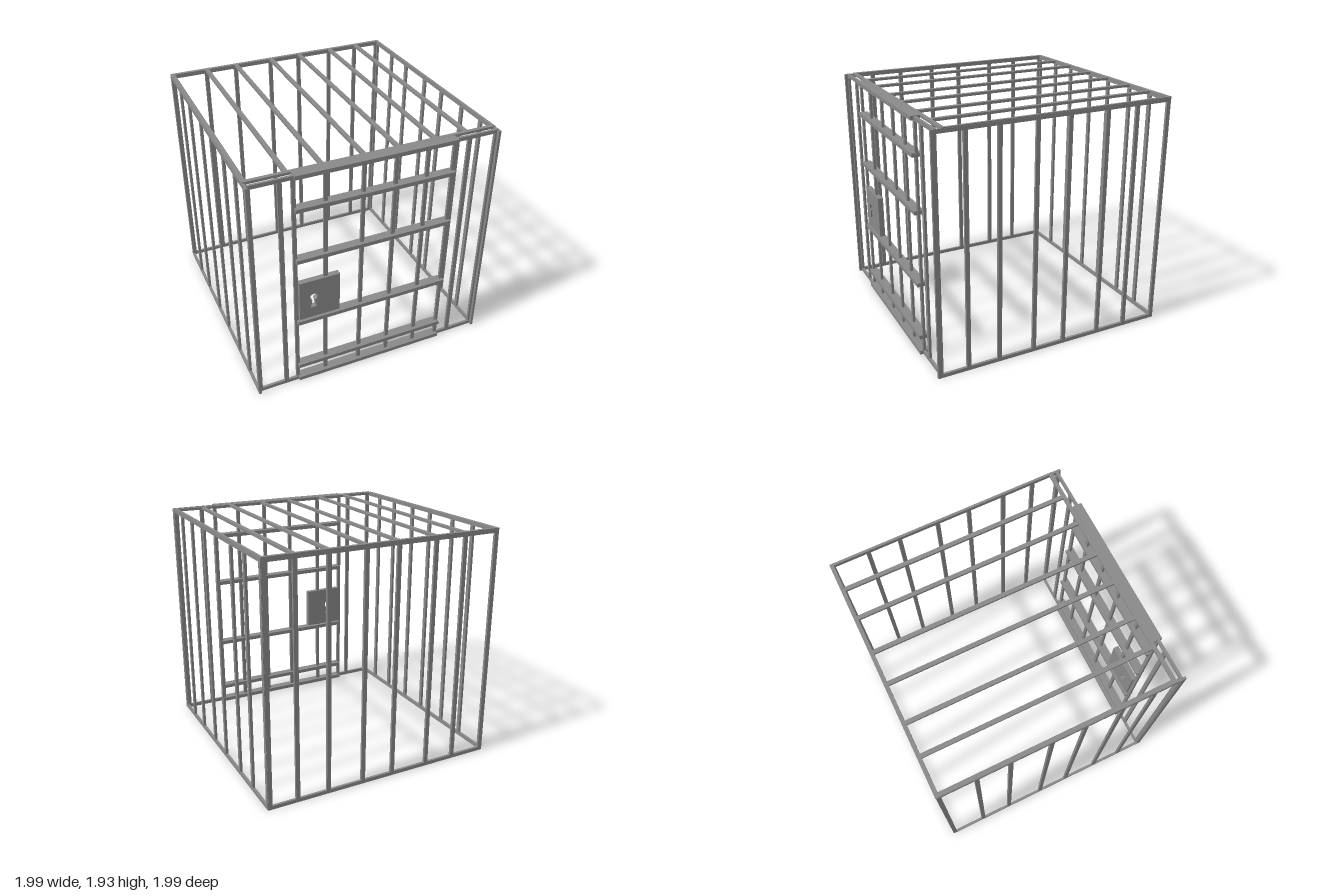
import * as THREE from 'three';

const metal = new THREE.MeshStandardMaterial({ color: 0x8a8a8a, flatShading: true });
const BAR = 0.034; // bar width
const RAIL = 0.03; // rail height
const THIN = 0.02; // bar depth
const SPACING = [-0.68, -0.415, -0.09, 0.18, 0.483, 0.745];

function box(parent, name, size, pos) {
  const mesh = new THREE.Mesh(new THREE.BoxGeometry(...size), metal);
  mesh.name = name;
  mesh.position.set(...pos);
  parent.add(mesh);
}

// Upright barred frame in the XY plane, standing on y = 0
function panel(name, width, height, bars, leftPost = BAR) {
  const g = new THREE.Group();
  g.name = name;
  box(g, 'framePost', [BAR, height, THIN], [(BAR - width) / 2, height / 2, 0]);
  box(g, 'framePost', [leftPost, height, THIN], [(width - leftPost) / 2, height / 2, 0]);
  for (const y of [RAIL / 2, height - RAIL / 2]) {
    box(g, 'frameRail', [width - BAR - leftPost, RAIL, THIN], [(BAR - leftPost) / 2, y, 0]);
  }
  for (const x of bars) {
    box(g, 'bar', [BAR, height - 2 * RAIL, THIN], [x, height / 2, 0]);
  }
  return g;
}

// Lock plate with a keyhole cut through it
function lockPlate() {
  const shape = new THREE.Shape();
  shape.moveTo(-0.628, 0.635);
  shape.lineTo(-0.297, 0.635);
  shape.lineTo(-0.297, 0.985);
  shape.lineTo(-0.628, 0.985);
  shape.closePath();
  const hole = new THREE.Path();
  hole.moveTo(-0.537, 0.73);
  hole.lineTo(-0.524, 0.797);
  hole.absarc(-0.513, 0.826, 0.032, Math.PI * 1.38, Math.PI * 1.62, true);
  hole.lineTo(-0.489, 0.73);
  hole.closePath();
  shape.holes.push(hole);
  const geo = new THREE.ExtrudeGeometry(shape, { depth: 0.045, bevelEnabled: false, curveSegments: 6 });
  const mesh = new THREE.Mesh(geo, metal);
  mesh.name = 'lockPlate';
  mesh.position.z = -0.022;
  return mesh;
}

function createDoor() {
  const door = new THREE.Group();
  door.name = 'door';
  for (const x of [-0.648, -0.408, -0.113, 0.143, 0.4, 0.62]) {
    box(door, 'doorBar', [0.03, 1.9, THIN], [x, 0.963, 0]);
  }
  // deep rails: bottom, four across, top
  for (const y of [0.016, 0.153, 0.61, 1.2, 1.642, 1.913]) {
    box(door, 'doorRail', [1.28, 0.032, 0.074], [-0.008, y, 0]);
  }
  door.add(lockPlate());
  return door;
}

export function createModel() {
  const cage = new THREE.Group();
  cage.name = 'cage';

  const back = panel('backPanel', 1.98, 1.92, SPACING);
  back.position.z = -0.982;
  cage.add(back);

  for (const s of [-1, 1]) {
    const side = panel(s > 0 ? 'leftPanel' : 'rightPanel', 1.985, 1.92, SPACING.map((z) => 0.005 - z));
    side.rotation.y = Math.PI / 2;
    side.position.set(s * 0.985, 0, 0.003);
    cage.add(side);
  }

  // roof panel, stopping short of the front
  const roof = panel('roofPanel', 1.984, 1.915, SPACING.map((x) => x + 0.004), THIN);
  roof.rotation.x = Math.PI / 2;
  roof.position.set(0, 1.918, -0.995);
  cage.add(roof);

  // front frame with one bar either side of the door
  const front = panel('frontPanel', 1.98, 1.925, [-0.75, 0.742]);
  front.position.z = 0.962;
  cage.add(front);

  // door, hanging slightly ajar
  const door = createDoor();
  door.position.z = 0.957;
  door.rotation.y = -0.006;
  cage.add(door);

  return cage;
}
